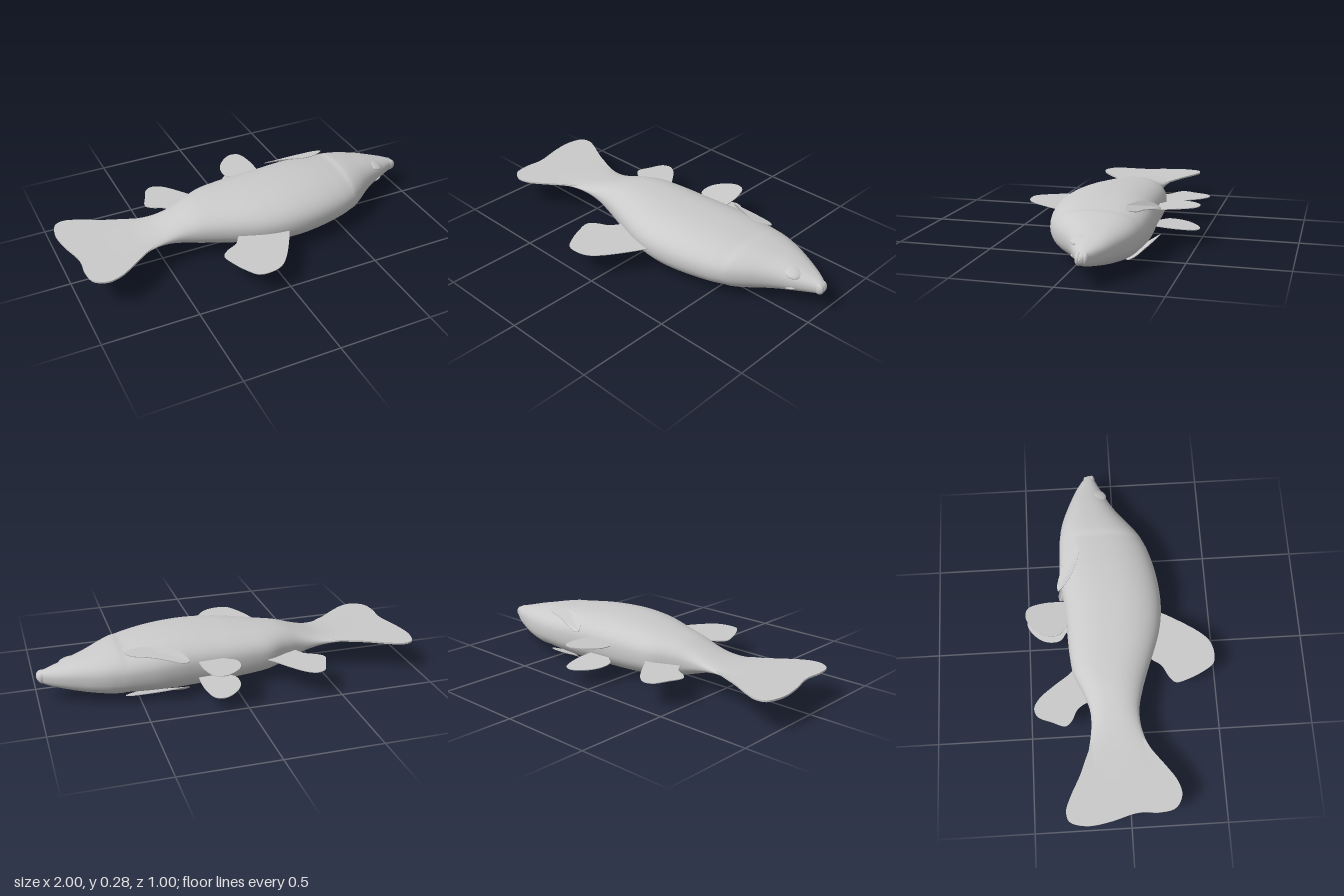
import * as THREE from 'three';

const MID = 0.146; // height of the plane the fish is mirrored about

const grey = new THREE.MeshStandardMaterial({ color: 0xcacaca });
grey.name = 'plain grey';
const finGrey = grey.clone();
finGrey.name = 'plain grey fin';
finGrey.side = THREE.DoubleSide;

// Body stations: x, belly edge z, back edge z, centre height, half thickness
const STATIONS = [
  [-0.82, -0.24, 0.20, 0.161, 0.004],
  [-0.70, -0.22, 0.17, 0.160, 0.007],
  [-0.60, -0.198, 0.108, 0.158, 0.013],
  [-0.50, -0.182, 0.078, 0.153, 0.032],
  [-0.40, -0.184, 0.076, 0.150, 0.065],
  [-0.30, -0.218, 0.10, 0.150, 0.096],
  [-0.20, -0.262, 0.133, 0.148, 0.113],
  [-0.10, -0.277, 0.17, 0.147, 0.124],
  [0.00, -0.284, 0.204, 0.146, 0.133],
  [0.10, -0.289, 0.225, 0.145, 0.138],
  [0.20, -0.296, 0.231, 0.145, 0.140],
  [0.30, -0.307, 0.224, 0.145, 0.138],
  [0.40, -0.314, 0.207, 0.145, 0.132],
  [0.50, -0.312, 0.18, 0.143, 0.123],
  [0.56, -0.309, 0.156, 0.142, 0.116],
  [0.60, -0.304, 0.135, 0.141, 0.117],
  [0.66, -0.295, 0.092, 0.140, 0.108],
  [0.73, -0.275, 0.036, 0.139, 0.094],
  [0.80, -0.247, -0.010, 0.138, 0.079],
  [0.88, -0.212, -0.050, 0.136, 0.058],
  [0.94, -0.178, -0.080, 0.135, 0.042],
  [0.975, -0.152, -0.095, 0.135, 0.030],
  [0.993, -0.137, -0.105, 0.135, 0.018],
  [1.0, -0.121, -0.119, 0.135, 0.001],
];

// Lofted body: superellipse rings along smooth curves through the stations
function bodyGeometry(rows = 110, sides = 48) {
  const edges = new THREE.CatmullRomCurve3(
    STATIONS.map(s => new THREE.Vector3(s[0], s[1], s[2])), false, 'catmullrom');
  const depth = new THREE.CatmullRomCurve3(
    STATIONS.map(s => new THREE.Vector3(s[0], s[3], s[4])), false, 'catmullrom');
  const pos = [], index = [];
  for (let i = 0; i <= rows; i++) {
    const e = edges.getPoint(i / rows), d = depth.getPoint(i / rows);
    const cz = (e.y + e.z) / 2, rz = (e.z - e.y) / 2;
    for (let j = 0; j < sides; j++) {
      const a = (j / sides) * Math.PI * 2, c = Math.cos(a), s = Math.sin(a);
      const p = c < 0 ? 0.78 : 0.9; // squarer on the belly side
      pos.push(e.x,
        d.y + d.z * Math.sign(s) * Math.abs(s) ** p,
        cz + rz * Math.sign(c) * Math.abs(c) ** p);
      if (i < rows) {
        const k = (j + 1) % sides, A = i * sides + j, B = i * sides + k;
        index.push(A, B, A + sides, B, B + sides, A + sides);
      }
    }
  }
  // close the tail end
  for (let j = 1; j < sides - 1; j++) index.push(0, j + 1, j);
  const g = new THREE.BufferGeometry();
  g.setAttribute('position', new THREE.Float32BufferAttribute(pos, 3));
  g.setIndex(index);
  // make sure the top ring vertices face upwards
  g.computeVertexNormals();
  const probe = Math.floor(rows / 2) * sides + sides / 4;
  if (g.attributes.normal.getY(probe) < 0) {
    index.reverse();
    g.setIndex(index);
    g.computeVertexNormals();
  }
  return g;
}

// Thin fin from a smooth outline of [x, z] points; heightAt gives y for each z
function fin(name, points, heightAt, thick = 0.004) {
  const curve = new THREE.CatmullRomCurve3(
    points.map(([x, z]) => new THREE.Vector3(x, -z, 0)), true);
  const shape = new THREE.Shape(curve.getPoints(72).slice(0, -1).map(p => new THREE.Vector2(p.x, p.y)));
  const g = new THREE.ExtrudeGeometry(shape, { depth: thick, bevelEnabled: false });
  g.rotateX(-Math.PI / 2);
  const p = g.attributes.position;
  for (let i = 0; i < p.count; i++) p.setY(i, p.getY(i) - thick / 2 + heightAt(p.getZ(i)));
  g.computeVertexNormals();
  const m = new THREE.Mesh(g, finGrey);
  m.name = name;
  return m;
}

function ellipsoid(name, pos, scale, normal) {
  const m = new THREE.Mesh(new THREE.SphereGeometry(1, 32, 20), grey);
  m.name = name;
  m.position.set(...pos);
  m.scale.set(...scale);
  if (normal) {
    m.quaternion.setFromUnitVectors(new THREE.Vector3(0, 1, 0), new THREE.Vector3(...normal).normalize());
  }
  return m;
}

// Parts found on both flanks
function flank(name) {
  const g = new THREE.Group();
  g.name = name;
  g.add(
    fin('pectoralFin', [
      [0.57, -0.235], [0.52, -0.205], [0.45, -0.2], [0.38, -0.225], [0.31, -0.26],
      [0.27, -0.298], [0.258, -0.322], [0.29, -0.327], [0.36, -0.308], [0.46, -0.28], [0.54, -0.262],
    ], z => 0.266 - 3.5 * (z + 0.2) ** 2),
    fin('pelvicFin', [
      [0.19, -0.25], [0.203, -0.32], [0.198, -0.41], [0.17, -0.49], [0.125, -0.504], [0.08, -0.485],
      [0.03, -0.435], [0.01, -0.385], [0.016, -0.325], [0.06, -0.29], [0.09, -0.25],
    ], z => 0.188 - 0.075 * (z + 0.3)),
    ellipsoid('eye', [0.84, 0.186, -0.075], [0.044, 0.014, 0.044], [0.3, 1, 0.22]),
  );
  return g;
}

export function createModel() {
  const fish = new THREE.Group();
  fish.name = 'fish';

  const body = new THREE.Mesh(bodyGeometry(), grey);
  body.name = 'body';
  fish.add(body);

  // Single fins
  fish.add(
    fin('tailFin', [
      [-0.56, -0.17], [-0.63, -0.206], [-0.74, -0.25], [-0.85, -0.305], [-0.92, -0.329], [-0.972, -0.315],
      [-0.999, -0.23], [-0.985, -0.11], [-0.952, 0.01], [-0.947, 0.06], [-0.953, 0.14], [-0.935, 0.225],
      [-0.87, 0.261], [-0.8, 0.245], [-0.72, 0.192], [-0.64, 0.13], [-0.56, 0.07],
    ], () => 0.161, 0.009),
    fin('dorsalFin', [
      [0.14, 0.2], [0.13, 0.23], [0.08, 0.32], [0.01, 0.425], [-0.04, 0.475], [-0.1, 0.496], [-0.17, 0.49],
      [-0.21, 0.44], [-0.25, 0.355], [-0.268, 0.28], [-0.235, 0.245], [-0.17, 0.21], [-0.12, 0.15],
      [0.0, 0.14],
    ], () => 0.133),
    fin('analFin', [
      [-0.16, -0.24], [-0.2, -0.295], [-0.26, -0.38], [-0.32, -0.45], [-0.37, -0.476], [-0.415, -0.46],
      [-0.45, -0.385], [-0.475, -0.315], [-0.45, -0.282], [-0.39, -0.25], [-0.36, -0.21],
      [-0.34, -0.17], [-0.24, -0.18],
    ], () => 0.138),
  );

  // Lips
  fish.add(
    ellipsoid('upperLip', [0.972, 0.135, -0.108], [0.027, 0.031, 0.017]),
    ellipsoid('lowerLip', [0.968, 0.135, -0.14], [0.026, 0.03, 0.017]),
  );

  // Mirrored flank parts
  const left = flank('upperFlank');
  const right = flank('lowerFlank');
  right.scale.y = -1;
  right.position.y = MID * 2 - 0.006;
  fish.add(left, right);

  return fish;
}
